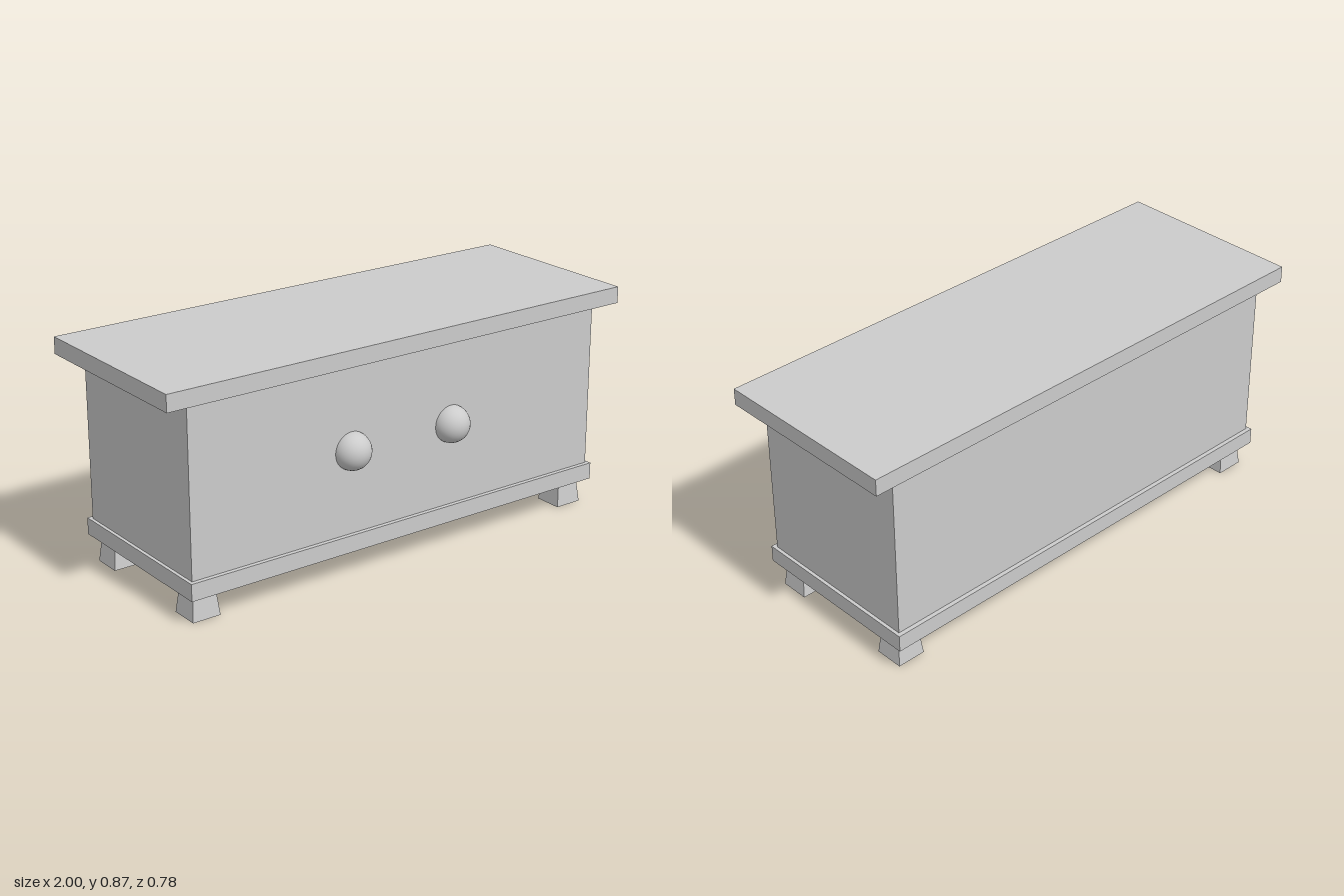
import * as THREE from 'three';

const material = new THREE.MeshStandardMaterial({ color: 0xcccccc, flatShading: true });
const smooth = new THREE.MeshStandardMaterial({ color: 0xcccccc });
const centreZ = -0.018;

// Box from y0 to y1 whose top and bottom rectangles may differ in size
function block(name, [w0, d0], [w1, d1], y0, y1, x = 0, z = centreZ) {
  const geometry = new THREE.BoxGeometry(1, y1 - y0, 1);
  const p = geometry.attributes.position;
  for (let i = 0; i < p.count; i++) {
    const top = p.getY(i) > 0;
    p.setX(i, p.getX(i) * (top ? w1 : w0));
    p.setZ(i, p.getZ(i) * (top ? d1 : d0));
  }
  geometry.computeVertexNormals();
  const mesh = new THREE.Mesh(geometry, material);
  mesh.name = name;
  mesh.position.set(x, (y0 + y1) / 2, z);
  return mesh;
}

export function createModel() {
  const chest = new THREE.Group();
  chest.name = 'chest';

  // Main case, base plinth and overhanging lid
  chest.add(
    block('body', [1.806, 0.67], [1.806, 0.67], 0.165, 0.802),
    block('base', [1.832, 0.704], [1.832, 0.704], 0.1, 0.165),
    block('lid', [2, 0.742], [2, 0.742], 0.804, 0.868),
    // Very shallow slope under the lid
    block('lidUnderside', [1.806, 0.67], [2, 0.742], 0.801, 0.804)
  );

  // Four feet that widen toward the floor
  for (const x of [-0.838, 0.838]) {
    for (const dz of [-0.263, 0.263]) {
      chest.add(block('foot', [0.112, 0.112], [0.09, 0.09], 0, 0.1, x, centreZ + dz));
    }
  }

  // Two round knobs half sunk into the front
  for (const x of [-0.23, 0.219]) {
    const knob = new THREE.Mesh(new THREE.SphereGeometry(0.071, 32, 20), smooth);
    knob.name = 'knob';
    knob.position.set(x, 0.482, 0.319);
    chest.add(knob);
  }

  return chest;
}
